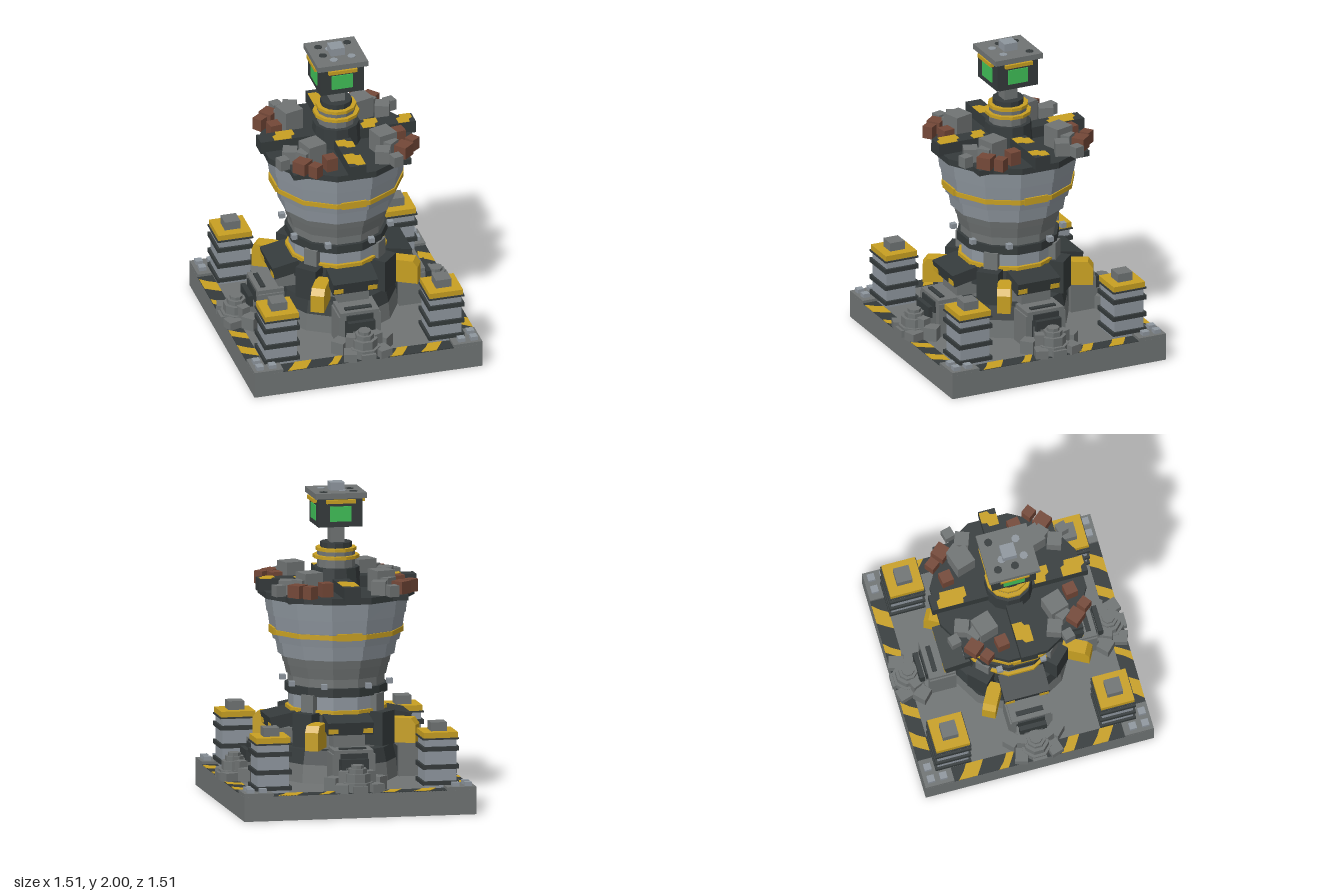
import * as THREE from 'three';

const mat = (name, color) => {
  const m = new THREE.MeshStandardMaterial({ color });
  m.name = name;
  return m;
};

export function createModel() {
  const dark = mat('charcoal', 0x353b3c), gray = mat('stone gray', 0x707474), light = mat('steel gray', 0x8f979f);
  const yellow = mat('safety yellow', 0xc8a022), brown = mat('rust brown', 0x744838), green = mat('screen green', 0x40c058);
  const model = new THREE.Group();
  model.name = 'reactorTower';

  const add = (parent, name, geo, m, x = 0, y = 0, z = 0, ry = 0, rx = 0) => {
    const mesh = new THREE.Mesh(geo, m);
    mesh.name = name;
    mesh.position.set(x, y, z);
    mesh.rotation.set(rx, ry, 0, 'YXZ');
    parent.add(mesh);
    return mesh;
  };
  // Box standing on height y0
  const box = (p, name, m, x, z, w, d, y0, y1, ry = 0) =>
    add(p, name, new THREE.BoxGeometry(w, y1 - y0, d), m, x, (y0 + y1) / 2, z, ry);
  // Faceted prism with flats facing the axes; a0 and a1 are flat-to-centre distances
  const prism = (p, name, m, a0, a1, y0, y1, n = 12, x = 0, z = 0) => {
    const k = 1 / Math.cos(Math.PI / n);
    const geo = new THREE.CylinderGeometry(a1 * k, a0 * k, y1 - y0, n, 1, false, Math.PI / n).toNonIndexed();
    geo.computeVertexNormals();
    return add(p, name, geo, m, x, (y0 + y1) / 2, z);
  };
  // Thin flat plate from a top-view outline (x, z)
  const plate = (p, name, m, pts, y) => {
    const shape = new THREE.Shape(pts.map(([x, z]) => new THREE.Vector2(x, -z)));
    const geo = new THREE.ExtrudeGeometry(shape, { depth: 0.005, bevelEnabled: false });
    return add(p, name, geo, m, 0, y, 0, 0, -Math.PI / 2);
  };

  // Base: deck on open-bottomed walls
  box(model, 'deck', gray, 0, 0, 1.47, 1.47, 0.135, 0.155);
  box(model, 'deckUnderside', dark, 0, 0, 1.45, 1.45, 0.128, 0.135);

  // Tower body: material, lower and upper half width, lower and upper height
  [
    ['foot', gray, 0.37, 0.36, 0.155, 0.27],
    ['footBand', dark, 0.36, 0.34, 0.27, 0.36],
    ['lowerColumn', gray, 0.27, 0.27, 0.36, 0.46],
    ['waistBand', dark, 0.31, 0.3, 0.46, 0.575],
    ['waistRing', yellow, 0.305, 0.305, 0.58, 0.605],
    ['waistColumn', light, 0.285, 0.285, 0.575, 0.69],
    ['collarBand', dark, 0.31, 0.31, 0.69, 0.745],
    ['collar', gray, 0.29, 0.29, 0.745, 0.8],
    ['bowlStep1', gray, 0.3, 0.315, 0.8, 0.87],
    ['bowlStep2', gray, 0.32, 0.33, 0.87, 0.925],
    ['bowlStep3', light, 0.35, 0.365, 0.925, 1.015],
    ['bowlStep4', light, 0.38, 0.398, 1.015, 1.1],
    ['bowlRing', yellow, 0.405, 0.405, 1.065, 1.095],
    ['bowlStep5', light, 0.4, 0.412, 1.1, 1.185],
    ['bowlStep6', light, 0.418, 0.432, 1.185, 1.3],
    ['topDisc', dark, 0.47, 0.47, 1.297, 1.338],
    ['neckBase', dark, 0.15, 0.14, 1.338, 1.47],
    ['neckDrum', gray, 0.115, 0.115, 1.47, 1.57],
    ['neckRingLow', yellow, 0.14, 0.14, 1.525, 1.545],
    ['neckRingHigh', yellow, 0.123, 0.123, 1.572, 1.592],
    ['neckCap', dark, 0.095, 0.095, 1.57, 1.625],
  ].forEach(([n, m, a0, a1, y0, y1]) => prism(model, n, m, a0, a1, y0, y1));

  // Monitor head
  box(model, 'headPost', gray, 0, 0, 0.09, 0.09, 1.62, 1.74);
  box(model, 'headBox', dark, 0, 0, 0.28, 0.28, 1.735, 1.915);
  box(model, 'headCap', gray, 0, 0, 0.325, 0.325, 1.915, 1.95);
  box(model, 'headKnob', light, 0, 0, 0.09, 0.09, 1.95, 2);
  [[-0.09, -0.09, dark], [-0.09, 0.02, dark], [0.1, -0.1, dark], [0.08, 0.07, light], [-0.04, 0.09, light], [-0.03, -0.05, light]]
    .forEach(([x, z, m]) => prism(model, 'capStain', m, 0.024, 0.024, 1.95, 1.953, 8, x, z));

  // Wedge-topped yellow buttress, profile in depth and height
  const wedge = new THREE.ExtrudeGeometry(
    new THREE.Shape([[-0.09, 0], [0.09, 0], [0.09, 0.115], [0.06, 0.155], [-0.09, 0.155]].map(p => new THREE.Vector2(...p))),
    { depth: 0.085, bevelEnabled: false });
  wedge.translate(0, 0, -0.0425).rotateY(-Math.PI / 2);

  // Debris on the top disc: x, z, size, turn, height, material
  const debris = [
    [-0.27, -0.42, 0.065, 0.25, 0.07, gray], [-0.2, -0.355, 0.09, -0.35, 0.09, gray],
    [-0.24, -0.22, 0.125, 0.3, 0.14, gray], [-0.265, -0.28, 0.08, 0.7, 0.1, gray],
    [-0.345, -0.315, 0.09, 0.7, 0.08, brown], [-0.42, -0.25, 0.065, 0.65, 0.08, brown],
    [-0.36, -0.14, 0.075, 0.15, 0.09, brown],
  ];
  // Worn paint patches on each roof beam: start and end along the beam
  const beamPaint = [[[0.16, 0.26], [0.34, 0.49]], [[0.16, 0.27], [0.39, 0.49]], [[0.27, 0.46]], [[0.27, 0.41]]];

  // Everything that repeats on the four sides; each is modelled facing +z
  for (let k = 0; k < 4; k++) {
    const side = new THREE.Group();
    side.name = 'side' + (k + 1);
    side.rotation.y = k * Math.PI / 2;
    model.add(side);

    // Base wall, hazard border and corner plate
    box(side, 'baseWall', gray, 0, 0.73, 1.47, 0.01, 0, 0.155);
    box(side, 'hazardBorder', dark, 0, 0.6875, 1.1, 0.095, 0.153, 0.158);
    [[-0.43, 0.09], [-0.2, 0.06], [0.21, 0.07], [0.42, 0.08]].forEach(([x, w]) =>
      plate(side, 'hazardStripe', yellow, [[x - w, 0.735], [x + w - 0.06, 0.735], [x + w - 0.03, 0.69], [x + w, 0.64], [x - w + 0.07, 0.64], [x - w + 0.04, 0.69]], 0.1555));
    box(side, 'cornerPlate', gray, 0.642, 0.642, 0.185, 0.185, 0.153, 0.175);
    [[0.69, 0.69], [0.61, 0.69], [0.69, 0.61]].forEach(([x, z]) => box(side, 'cornerBolt', light, x, z, 0.045, 0.045, 0.17, 0.2));

    // Corner pylon
    box(side, 'pylonBody', light, 0.53, 0.53, 0.2, 0.2, 0.155, 0.47);
    [[0.175, 0.2], [0.275, 0.303], [0.388, 0.416], [0.46, 0.47]].forEach(([y0, y1]) =>
      box(side, 'pylonBand', dark, 0.53, 0.53, 0.23, 0.23, y0, y1));
    box(side, 'pylonCap', yellow, 0.53, 0.53, 0.216, 0.216, 0.468, 0.505);
    box(side, 'pylonKnob', gray, 0.53, 0.53, 0.1, 0.1, 0.505, 0.56);

    // Stepped octagonal vent with loose blocks around it
    [[0.092, 0.155, 0.215], [0.075, 0.215, 0.27], [0.055, 0.27, 0.3], [0.038, 0.3, 0.32]].forEach(([a, y0, y1]) =>
      prism(side, 'ventStep', gray, a, a, y0, y1, 8, 0, 0.645));
    [-1, 1].forEach(s => {
      box(side, 'ventBlock', gray, s * 0.14, 0.59, 0.085, 0.085, 0.155, 0.24, s * 0.8);
      box(side, 'ventBlock', gray, s * 0.105, 0.695, 0.08, 0.09, 0.155, 0.21, s * 0.3);
      box(side, 'ventBlock', gray, s * 0.08, 0.62, 0.06, 0.06, 0.155, 0.28, s * 0.4);
    });
    box(side, 'ventBlock', gray, 0, 0.715, 0.09, 0.08, 0.155, 0.2);

    // Portal on four pegs that pass through the deck
    [-0.08, 0.08].forEach(x => [0.41, 0.53].forEach(z => prism(side, 'portalPeg', gray, 0.027, 0.027, 0.02, 0.2, 8, x, z)));
    [-0.115, 0.115].forEach(x => box(side, 'portalWall', gray, x, 0.455, 0.04, 0.17, 0.155, 0.37));
    box(side, 'portalRoof', gray, 0, 0.455, 0.25, 0.17, 0.34, 0.395);
    box(side, 'portalInside', dark, 0, 0.43, 0.19, 0.12, 0.155, 0.34);
    [0.495, 0.535, 0.575].forEach((z, i) => box(side, 'portalRib', dark, 0, z, 0.172, 0.03, 0.33 - i * 0.03, 0.405 - i * 0.03));
    box(side, 'portalRamp', gray, 0, 0.53, 0.12, 0.12, 0.155, 0.29);

    // Armoured hood with a yellow strip above the portal
    box(side, 'hoodNeck', gray, 0, 0.33, 0.2, 0.14, 0.39, 0.48);
    add(side, 'hood', new THREE.BoxGeometry(0.29, 0.08, 0.17), dark, 0, 0.53, 0.36, 0, 0.2);
    [-0.11, 0.11].forEach(x => box(side, 'hoodStrip', yellow, x, 0.442, 0.06, 0.01, 0.485, 0.515));

    // Buttress and waist brackets
    add(side, 'buttress', wedge, yellow, -0.21, 0.385, 0.385, Math.atan2(-0.21, 0.39));
    box(side, 'waistBracket', dark, 0.225, 0.225, 0.14, 0.14, 0.38, 0.59, Math.PI / 4);
    box(side, 'waistFin', gray, 0.2, 0.2, 0.09, 0.09, 0.59, 0.7, Math.PI / 4);
    [-0.14, 0.14].forEach(x => box(side, 'collarBolt', light, x, 0.31, 0.036, 0.036, 0.745, 0.777));
    box(side, 'bowlRingPlate', yellow, 0, 0.4, 0.16, 0.025, 1.06, 1.105);

    // Roof beam with worn paint, corner bracket and debris
    box(side, 'roofBeam', dark, 0, 0.32, 0.105, 0.36, 1.33, 1.41);
    beamPaint[k].forEach(([a, b]) =>
      plate(side, 'beamPaint', yellow, [[-0.052, a], [0.01, a], [0.02, a + 0.025], [0.052, a + 0.03], [0.052, b], [0, b], [-0.015, b - 0.025], [-0.052, b - 0.03]], 1.408));
    box(side, 'discBracket', dark, 0.32, 0.32, 0.12, 0.12, 1.3, 1.336);
    debris.forEach(([x, z, s, r, h, m]) => box(side, 'debris', m, x, z, s, s, 1.335, 1.335 + h, r));

    // Screen and brow
    box(side, 'screen', green, 0, 0.142, 0.135, 0.008, 1.77, 1.865);
    box(side, 'brow', yellow, 0, 0.15, 0.185, 0.03, 1.885, 1.908);
  }
  return model;
}
